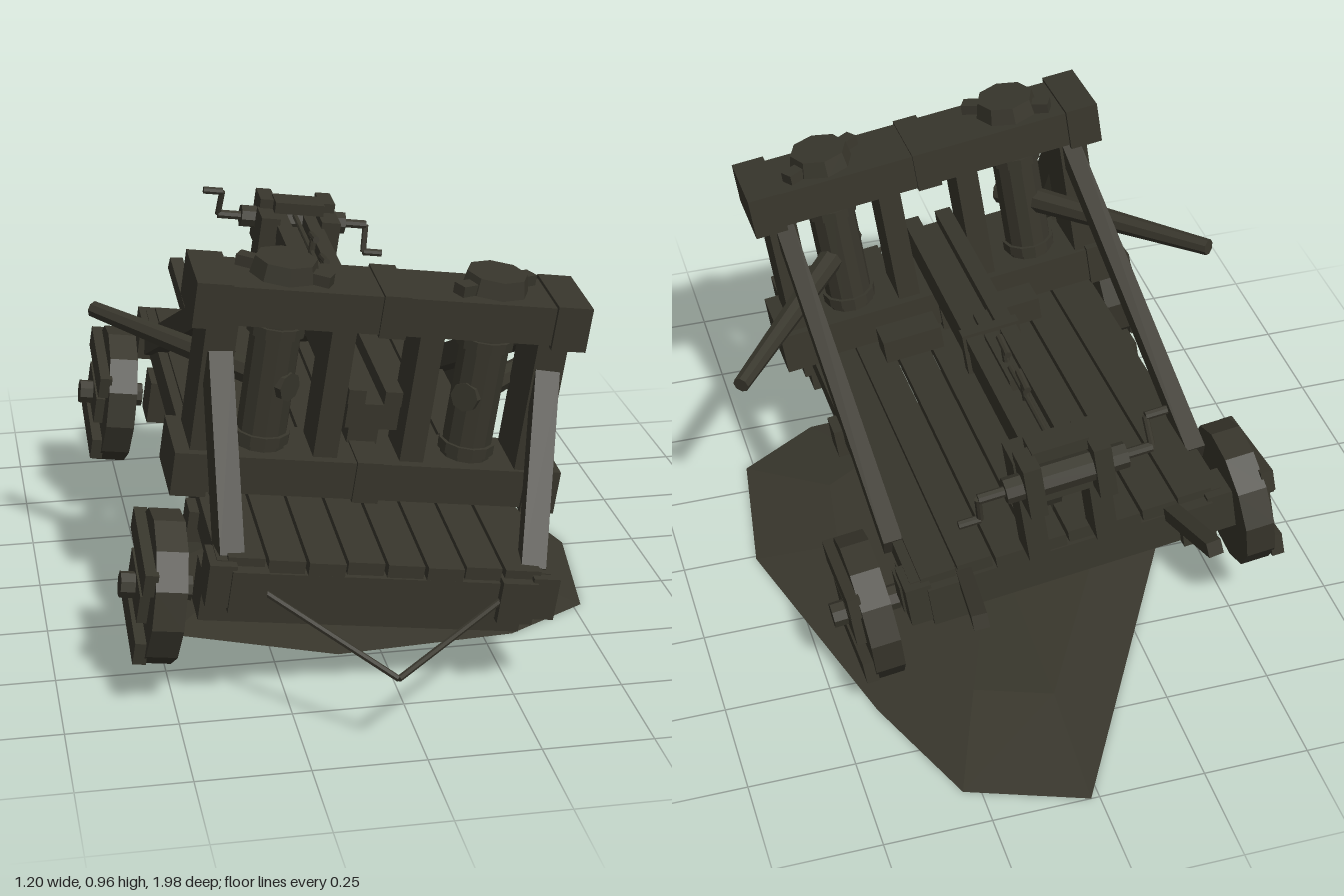
import * as THREE from 'three';

const wood = new THREE.MeshStandardMaterial({ color: 0x38362c });
wood.name = 'darkWood';
const earth = wood.clone();
earth.name = 'darkEarth';
earth.side = THREE.DoubleSide;

const V = (x, y, z) => new THREE.Vector3(x, y, z);

function add(parent, name, geometry, x = 0, y = 0, z = 0) {
  const mesh = new THREE.Mesh(geometry, wood);
  mesh.name = name;
  mesh.position.set(x, y, z);
  parent.add(mesh);
  return mesh;
}
const box = (p, name, w, h, d, x, y, z) => add(p, name, new THREE.BoxGeometry(w, h, d), x, y, z);

// Faceted cylinder, flat shaded
function drum(rTop, rBottom, h, sides) {
  const g = new THREE.CylinderGeometry(rTop, rBottom, h, sides).toNonIndexed();
  g.computeVertexNormals();
  return g;
}

// Square timber between two points
function beam(p, name, a, b, w, h = w) {
  const m = box(p, name, w, h, a.distanceTo(b), 0, 0, 0);
  m.position.copy(a).add(b).multiplyScalar(0.5);
  m.quaternion.setFromRotationMatrix(new THREE.Matrix4().lookAt(b, a, V(0, 1, 0)));
  return m;
}

// Round rod between two points, tapering from ra to rb
function rod(p, name, a, b, ra, rb = ra, sides = 8) {
  const m = add(p, name, drum(rb, ra, a.distanceTo(b), sides));
  m.position.copy(a).add(b).multiplyScalar(0.5);
  m.quaternion.setFromUnitVectors(V(0, 1, 0), b.clone().sub(a).normalize());
  return m;
}

// Plank wheel with battens and hub, its outside facing s
function wheel(p, name, s, z) {
  const g = new THREE.Group();
  g.name = name;
  g.position.set(s * 0.455, -0.105, z);
  g.rotation.x = 0.1;
  p.add(g);
  add(g, 'wheelDisc', drum(0.172, 0.172, 0.07, 12)).rotation.z = Math.PI / 2;
  for (const y of [-0.09, 0.09]) box(g, 'wheelBatten', 0.03, 0.055, 0.27, s * 0.045, y, 0);
  box(g, 'hubPlate', 0.025, 0.07, 0.19, s * 0.045, 0, 0);
  add(g, 'hub', drum(0.03, 0.03, 0.16, 8), s * 0.01).rotation.z = Math.PI / 2;
}

function buildChassis(p) {
  // Deck planks
  for (let i = 0; i < 8; i++) {
    box(p, 'deckPlank', 0.081, 0.03, 1.36 + (i % 3) * 0.012, (i - 3.5) * 0.088, 0.055, 0.07);
  }
  for (const s of [-1, 1]) {
    box(p, 'sideRail', 0.08, 0.1, 1.42, s * 0.3, 0, 0.07);
    box(p, 'railEdge', 0.045, 0.065, 1.36, s * 0.35, 0.03, 0.07);
    for (const z of [-0.55, 0.08, 0.45]) box(p, 'railClamp', 0.05, 0.075, 0.07, s * 0.37, 0, z);
    for (const z of [0.725, -0.585]) box(p, 'cornerBlock', 0.06, 0.1, 0.095, s * 0.36, 0.01, z);
    beam(p, 'pushHandle', V(s * 0.24, 0.02, -0.54), V(s * 0.27, 0.105, -0.85), 0.035);
  }
  for (const z of [0.72, -0.58]) box(p, 'crossBeam', 0.7, 0.085, 0.075, 0, -0.005, z);
  // Axles and the three remaining wheels
  for (const z of [0.57, -0.44]) box(p, 'axle', 0.74, 0.11, 0.1, 0, -0.105, z);
  wheel(p, 'rearWheelLeft', 1, -0.44);
  wheel(p, 'rearWheelRight', -1, -0.44);
  wheel(p, 'frontWheelRight', -1, 0.57);
  // Tow rope
  for (const s of [-1, 1]) rod(p, 'towRope', V(s * 0.27, 0, 0.76), V(0, -0.075, 0.985), 0.007, 0.007, 6);
}

function buildTower(p) {
  const z = 0.39;
  box(p, 'topBeam', 0.87, 0.09, 0.175, 0, 0.535, z);
  box(p, 'bottomBeam', 0.87, 0.09, 0.175, 0, 0.13, z);
  for (const y of [0.13, 0.535]) box(p, 'centreBand', 0.06, 0.1, 0.19, 0, y, z);
  for (const s of [-1, 1]) {
    for (const y of [0.13, 0.535]) box(p, 'beamEnd', 0.08, 0.105, 0.195, s * 0.405, y, z);
    box(p, 'outerPost', 0.07, 0.34, 0.155, s * 0.375, 0.33, z);
    box(p, 'innerPost', 0.055, 0.34, 0.13, s * 0.1, 0.33, z);
    // Twisted rope bundle with collars and a capped top
    add(p, 'ropeBundle', drum(0.058, 0.058, 0.34, 12), s * 0.24, 0.33, z);
    for (const y of [0.2, 0.46]) add(p, 'bundleCollar', drum(0.066, 0.066, 0.025, 12), s * 0.24, y, z);
    add(p, 'bundleCap', drum(0.07, 0.078, 0.04, 8), s * 0.24, 0.603, z);
    box(p, 'capBar', 0.22, 0.025, 0.035, s * 0.24, 0.595, z).rotation.y = s * 0.5;
    // Throwing arm
    rod(p, 'throwingArm', V(s * 0.2, 0.335, 0.44), V(s * 0.59, 0.3, -0.02), 0.034, 0.02);
    // Diagonal braces
    beam(p, 'frontBrace', V(s * 0.34, 0.05, 0.71), V(s * 0.375, 0.41, 0.45), 0.055);
    beam(p, 'rearBrace', V(s * 0.37, 0.04, -0.44), V(s * 0.37, 0.47, 0.34), 0.045, 0.06);
    box(p, 'footBlock', 0.15, 0.06, 0.08, s * 0.13, 0.1, 0.26);
  }
}

function buildStock(p) {
  box(p, 'stock', 0.12, 0.06, 1.12, 0, 0.27, -0.13);
  for (const s of [-1, 1]) {
    box(p, 'stockRail', 0.04, 0.035, 1.12, s * 0.042, 0.315, -0.13);
    box(p, 'rearPost', 0.05, 0.28, 0.085, s * 0.08, 0.21, -0.625);
    box(p, 'winchCheek', 0.04, 0.13, 0.085, s * 0.08, 0.31, -0.7);
    // Winch crank
    const y = 0.31, z = -0.7, dy = s * -0.07;
    rod(p, 'crankShaft', V(s * 0.1, y, z), V(s * 0.2, y, z), 0.012);
    rod(p, 'crankArm', V(s * 0.2, y, z), V(s * 0.2, y + dy, z + 0.02), 0.008);
    rod(p, 'crankGrip', V(s * 0.2, y + dy, z + 0.02), V(s * 0.25, y + dy, z + 0.02), 0.01);
    add(p, 'shaftNut', drum(0.03, 0.03, 0.04, 8), s * 0.12, y, z).rotation.z = Math.PI / 2;
  }
  rod(p, 'winchDrum', V(-0.1, 0.31, -0.7), V(0.1, 0.31, -0.7), 0.035);
  box(p, 'winchCap', 0.13, 0.03, 0.07, 0, 0.365, -0.66);
  box(p, 'stockStrap', 0.14, 0.11, 0.03, 0, 0.285, -0.13);
  box(p, 'supportColumn', 0.07, 0.2, 0.08, 0, 0.15, 0.33);
  beam(p, 'stockStrut', V(0, 0.25, -0.14), V(0, 0.07, -0.5), 0.05);
  // Slider, draw line and trigger levers
  box(p, 'slider', 0.035, 0.03, 0.3, 0, 0.315, -0.2);
  rod(p, 'drawLine', V(0, 0.33, -0.3), V(0, 0.33, -0.7), 0.007);
  for (const z of [-0.27, -0.42]) {
    rod(p, 'triggerPin', V(0, 0.32, z), V(0, 0.365, z), 0.009);
    rod(p, 'triggerLever', V(0, 0.365, z - 0.03), V(0, 0.375, z + 0.035), 0.009);
  }
}

// Low faceted mound: outline, raised ring and crown
function buildMound(parent) {
  const outline = [[0.02, -1], [-0.4, -0.25], [-0.53, 0], [-0.47, 0.32], [-0.1, 0.49],
    [0.32, 0.46], [0.52, 0.34], [0.57, -0.01], [0.41, -0.6], [0.29, -0.9]];
  const at = (i, k, y) => {
    const [x, z] = outline[i % outline.length];
    return [x * k, y, -0.15 + (z + 0.15) * k];
  };
  const pos = [];
  for (let i = 0; i < outline.length; i++) {
    const a = at(i, 1, 0), b = at(i + 1, 1, 0), c = at(i, 0.65, 0.04), d = at(i + 1, 0.65, 0.04);
    pos.push(...a, ...b, ...d, ...a, ...d, ...c, ...c, ...d, 0, 0.056, -0.15);
  }
  const g = new THREE.BufferGeometry();
  g.setAttribute('position', new THREE.Float32BufferAttribute(pos, 3));
  g.computeVertexNormals();
  add(parent, 'groundMound', g).material = earth;
}

export function createModel() {
  const model = new THREE.Group();
  model.name = 'wreckedBoltThrower';
  buildMound(model);
  // The whole engine leans towards its missing wheel
  const engine = new THREE.Group();
  engine.name = 'engine';
  engine.position.set(-0.05, 0.33, 0);
  engine.rotation.set(0.07, 0, -0.135);
  model.add(engine);
  for (const [name, build] of [['chassis', buildChassis], ['tower', buildTower], ['stockAndWinch', buildStock]]) {
    const g = new THREE.Group();
    g.name = name;
    engine.add(g);
    build(g);
  }
  return model;
}
